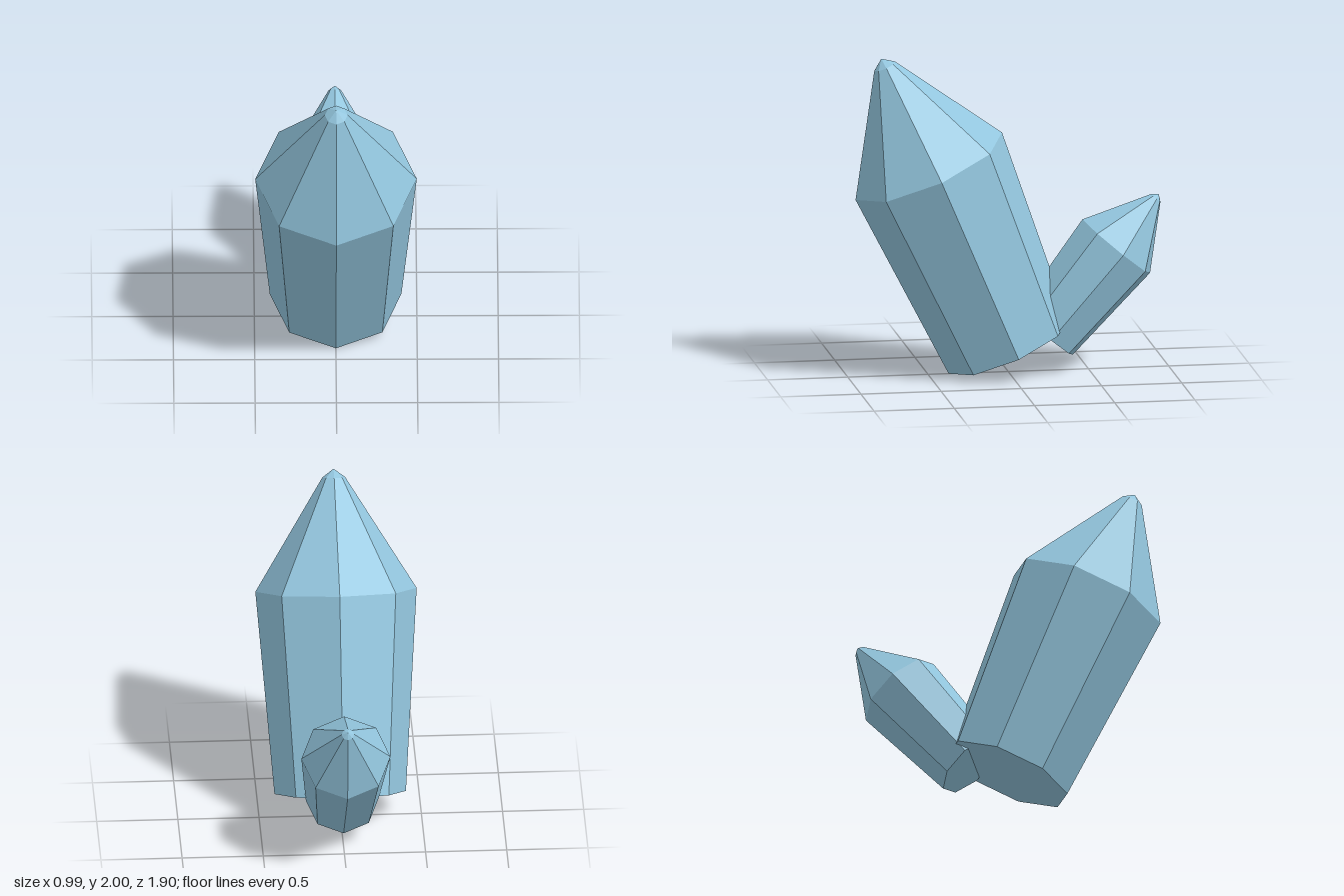
import * as THREE from 'three';

// Eight-sided crystal: flat base, widening shaft, long point with a small blunt tip.
function crystalGeometry() {
  const profile = [
    [0, 0], [0.405, 0], [0.497, 1.252], [0.07, 1.948], [0, 2],
  ].map(([r, y]) => new THREE.Vector2(r, y));
  return new THREE.LatheGeometry(profile, 8);
}

export function createModel() {
  const group = new THREE.Group();
  group.name = 'crystalCluster';
  const material = new THREE.MeshStandardMaterial({ color: 0x93c6de, flatShading: true });
  const geometry = crystalGeometry();

  // Both crystals share one shape; each leans along z from the centre of its base.
  const addCrystal = (name, y, z, tilt, scale) => {
    const mesh = new THREE.Mesh(geometry, material);
    mesh.name = name;
    mesh.position.set(0, y, z);
    mesh.rotation.x = THREE.MathUtils.degToRad(tilt);
    mesh.scale.setScalar(scale);
    group.add(mesh);
  };

  addCrystal('largeCrystal', 0.161, 0, 23.3, 1);
  addCrystal('smallCrystal', 0.236, -0.231, -39.8, 0.552);
  return group;
}
